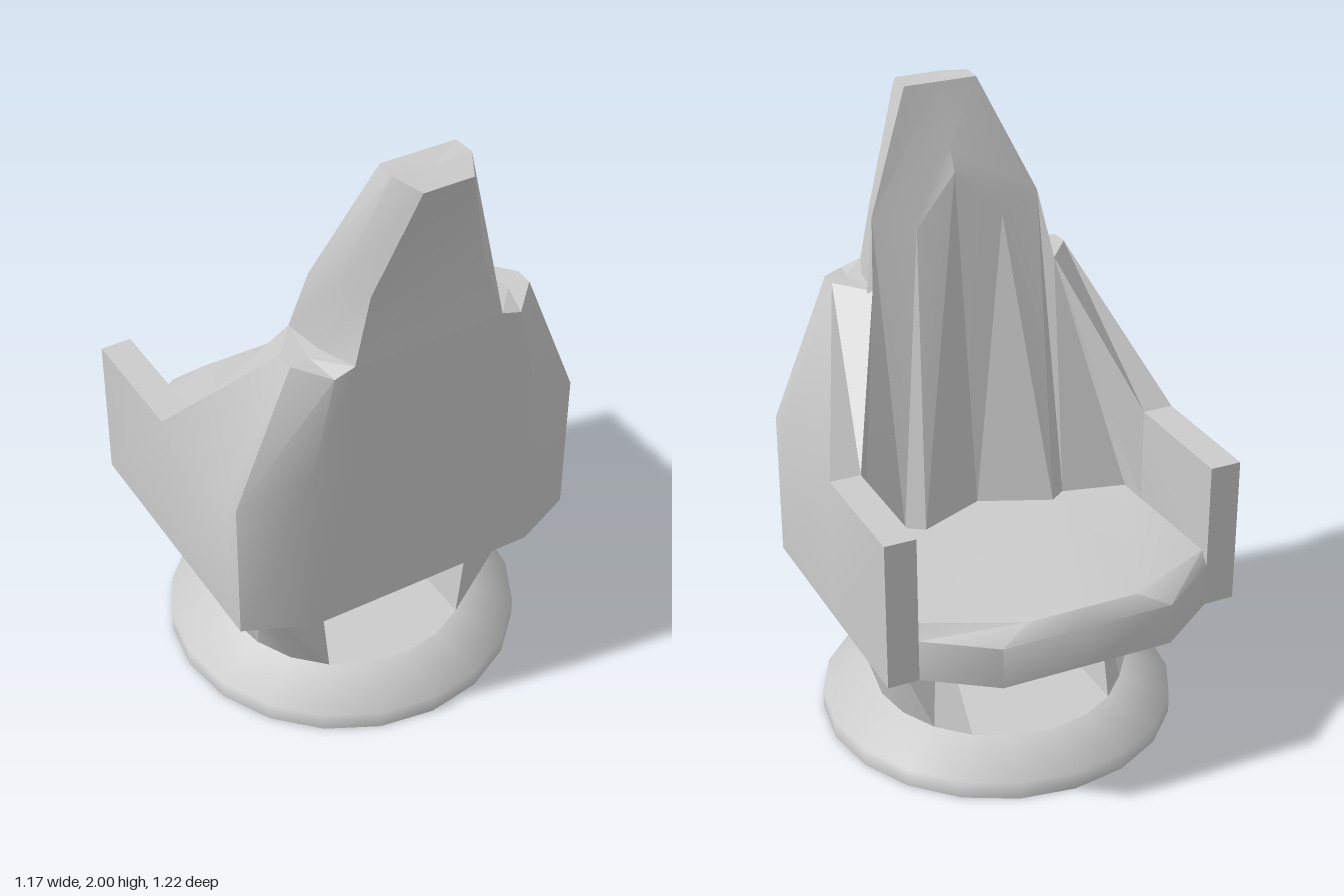
import * as THREE from 'three';
import { toCreasedNormals } from 'three/addons/utils/BufferGeometryUtils.js';

const material = new THREE.MeshStandardMaterial({ color: 0xcccccc, side: THREE.DoubleSide });

// Mesh from a list of triangles, dropping collapsed ones
function surface(name, tris, crease) {
  const pos = [];
  for (const t of tris) {
    const [a, b, c] = t.map((p) => new THREE.Vector3(...p));
    if (b.sub(a).cross(c.sub(a)).length() > 1e-7) pos.push(...t.flat());
  }
  const g = new THREE.BufferGeometry();
  g.setAttribute('position', new THREE.Float32BufferAttribute(pos, 3));
  const mesh = new THREE.Mesh(toCreasedNormals(g, crease), material);
  mesh.name = name;
  return mesh;
}

// Skin between rows of equal point count
function loft(name, rows, crease = 0.5) {
  const tris = [];
  for (let i = 0; i < rows.length - 1; i++) {
    for (let j = 0; j < rows[i].length - 1; j++) {
      const a = rows[i][j], b = rows[i][j + 1], c = rows[i + 1][j + 1], d = rows[i + 1][j];
      tris.push([a, b, c], [a, c, d]);
    }
  }
  return surface(name, tris, crease);
}

// Flat cap fanned around the middle of an outline
function cap(name, pts) {
  const mid = [0, 1, 2].map((k) => pts.reduce((s, p) => s + p[k], 0) / pts.length);
  return surface(name, pts.map((p, i) => [mid, p, pts[(i + 1) % pts.length]]), 0.1);
}

// Completes a half row (+x to the centre) with its mirror image
const full = (half) => [...half, ...half.filter((p) => p[0] > 0).reverse().map(([x, y, z]) => [-x, y, z])];

// Adds a +x part and its -x twin
function addPair(group, make) {
  for (const s of [1, -1]) {
    const m = make();
    m.name = (s > 0 ? 'left ' : 'right ') + m.name;
    m.scale.x = s;
    group.add(m);
  }
}

export function createModel() {
  const chair = new THREE.Group();
  chair.name = 'chair';

  // Base: hollow rim with a floor strip between the two legs
  const R = 0.41, CZ = 0.035;
  const rim = new THREE.Mesh(toCreasedNormals(new THREE.LatheGeometry(
    [[0.575, 0], [0.575, 0.06], [R, 0.12]].map((p) => new THREE.Vector2(...p)), 20), 1.3), material);
  rim.name = 'base rim';
  rim.position.z = CZ;
  chair.add(rim);
  const onRim = (deg) => {
    const a = THREE.MathUtils.degToRad(deg);
    return [R * Math.cos(a), 0.12, CZ + R * Math.sin(a)];
  };
  const strip = [54, 72, 90, 108, 126, 234, 252, 270, 288, 306].map(onRim);
  chair.add(cap('base floor', strip.reverse()));

  // Legs: round-sided foot blending into a square top
  const foot = [-54, -36, -18, 0, 18, 36, 54, -54].map(onRim);
  const legTop = [[0.28, -0.12], [0.485, -0.12], [0.485, -0.12], [0.485, 0.125],
    [0.485, 0.37], [0.485, 0.37], [0.28, 0.37], [0.28, -0.12]].map(([x, z]) => [x, 0.5, z]);
  addPair(chair, () => loft('leg', [legTop, foot], 0.4));

  // Outer shell: arms, sides and rear panel in one wrap
  const armTip = [0.585, 0.98, -0.46], armEnd = [0.585, 0.98, -0.04];
  const wingTop = [0.4, 1.43, 0.37], wingBack = [0.4, 1.43, 0.43];
  const rear = [0.31, 1.41, 0.52], neck = [0.245, 1.43, 0.52], wingIn = [0.31, 1.43, 0.26];
  chair.add(loft('outer shell', [
    full([armTip, armEnd, wingTop, wingBack, rear, neck, [0, 1.43, 0.52]]),
    full([armTip, armEnd, [0.585, 0.98, 0.37], [0.585, 0.98, 0.43],
      [0.385, 1.08, 0.52], [0.245, 1.08, 0.52], [0, 1.08, 0.52]]),
    full([[0.585, 0.5, -0.46], [0.585, 0.5, -0.04], [0.585, 0.5, 0.37], [0.585, 0.5, 0.43],
      [0.385, 0.5, 0.52], [0.245, 0.5, 0.52], [0, 0.5, 0.52]]),
  ], 0.55));
  const under = [[0.28, -0.6], [0.485, -0.46], [0.585, -0.46], [0.585, 0.43], [0.385, 0.52]];
  chair.add(cap('underside', [...under, ...under.map(([x, z]) => [-x, z]).reverse()]
    .map(([x, z]) => [x, 0.5, z])));

  // Arm rims, inner walls and shoulder ledges
  const innerTip = [0.485, 0.98, -0.46], innerEnd = [0.485, 0.98, -0.04];
  addPair(chair, () => loft('arm rim', [
    [[0.485, 0.5, -0.46], innerTip, innerEnd, wingIn],
    [[0.585, 0.5, -0.46], armTip, armEnd, wingTop],
  ]));
  addPair(chair, () => loft('inner wall', [
    [[0.485, 0.5, -0.46], [0.485, 0.5, -0.04], [0.485, 0.5, 0.07]],
    [[0.485, 0.66, -0.46], [0.485, 0.66, -0.04], [0.485, 0.66, 0.07]],
    [innerTip, innerEnd, wingIn],
  ]));
  addPair(chair, () => cap('shoulder ledge', [wingIn, neck, rear, wingBack, wingTop]));

  // Seat cushion with a bevelled front lip
  chair.add(loft('seat', [
    full([[0.485, 0.5, -0.46], [0.28, 0.5, -0.605], [0, 0.5, -0.605]]),
    full([[0.485, 0.635, -0.46], [0.28, 0.635, -0.605], [0, 0.635, -0.605]]),
    full([[0.485, 0.68, -0.43], [0.18, 0.68, -0.567], [0, 0.68, -0.567]]),
    full([[0.485, 0.66, 0.08], [0.28, 0.66, 0.13], [0, 0.66, 0.18]]),
  ], 0.85));

  // Backrest: centre hollow, side bolsters, top bevel and head front
  const temple = [0.28, 1.64, 0.325], crown = [0.12, 2, 0.43];
  chair.add(loft('backrest', [
    full([[0.485, 0.66, 0.07], [0.28, 0.66, 0.12], [0.225, 0.66, 0.08], [0, 0.66, 0.18]]),
    full([wingIn, temple, [0.145, 1.59, 0.295], [0, 1.74, 0.33]]),
    full([temple, temple, temple, [0, 1.81, 0.365]]),
    full([temple, crown, crown, [0, 2, 0.43]]),
  ], 0.3));

  // Headrest: sides and rear
  const top = [crown, [0.125, 2, 0.5], [0.08, 1.98, 0.585]];
  chair.add(loft('headrest', [
    full([...top, [0, 1.98, 0.585]]),
    full([temple, [0.25, 1.64, 0.42], [0.185, 1.63, 0.5], [0, 1.63, 0.5]]),
    full([wingIn, [0.29, 1.43, 0.4], neck, [0, 1.43, 0.52]]),
  ], 0.6));
  chair.add(cap('headrest top', full(top).reverse()));

  return chair;
}
